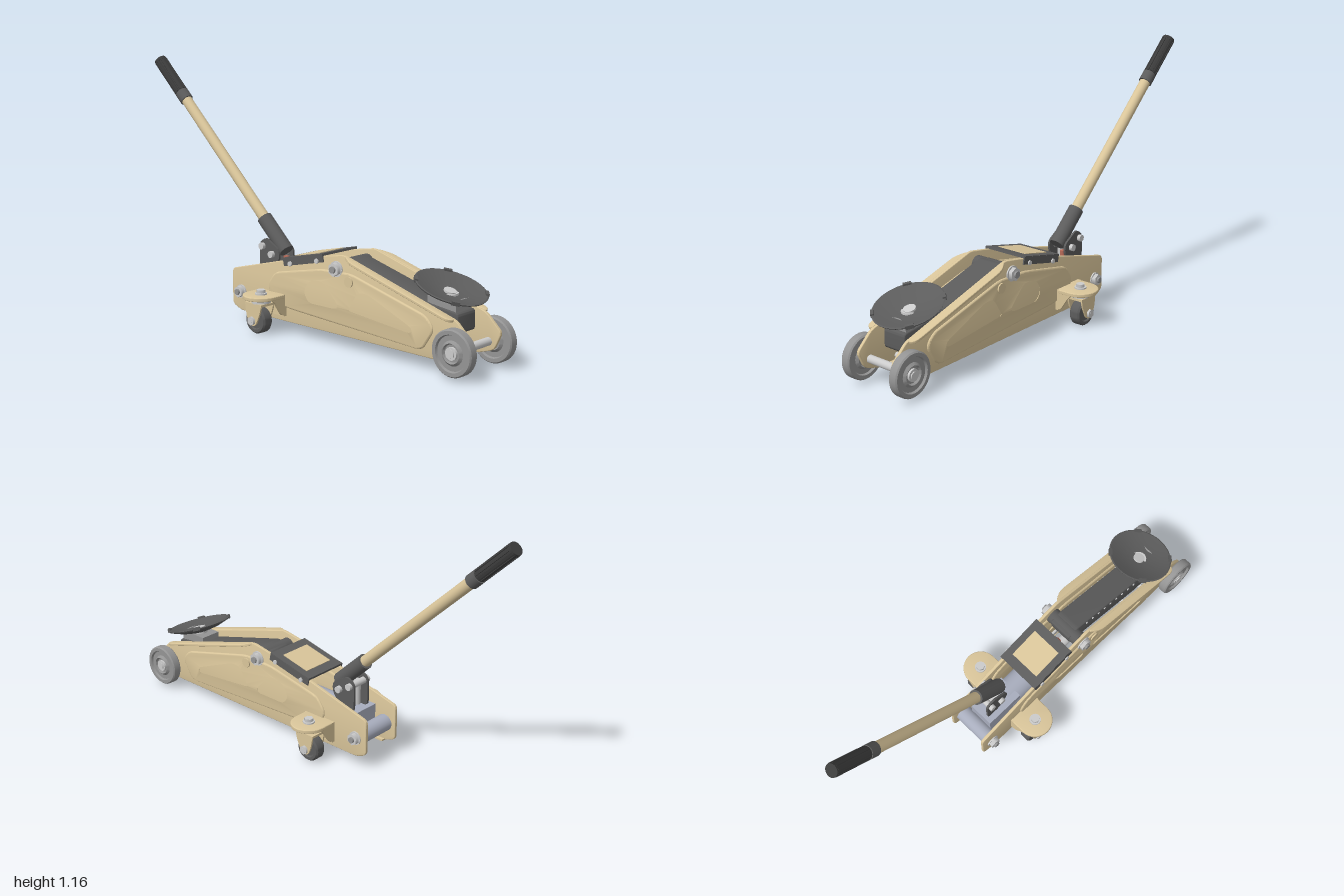
import * as THREE from 'three';
import { toCreasedNormals } from 'three/addons/utils/BufferGeometryUtils.js';

const mat = (color) => new THREE.MeshStandardMaterial({ color, side: THREE.DoubleSide });

export function createModel() {
  const root = new THREE.Group();
  const cream = mat(0xd9c59a), dark = mat(0x5c5c5c), black = mat(0x3c3c3c);
  const steel = mat(0xbcbcbc), grey = mat(0x949494), blue = mat(0xa8adbd), red = mat(0xb86a58);

  const add = (name, geo, material, x = 0, y = 0, z = 0, parent = root) => {
    const m = new THREE.Mesh(geo, material);
    m.name = name;
    m.position.set(x, y, z);
    parent.add(m);
    return m;
  };
  const box = (name, w, h, d, material, x, y, z, parent) =>
    add(name, new THREE.BoxGeometry(w, h, d), material, x, y, z, parent);
  // Cylinder lying along z
  const rod = (name, r, len, material, x, y, z = 0, sides = 24, parent = root) =>
    add(name, new THREE.CylinderGeometry(r, r, len, sides).rotateX(Math.PI / 2), material, x, y, z, parent);
  // Cylinder standing along y
  const post = (name, r, len, material, x, y, z, sides = 24, parent = root) =>
    add(name, new THREE.CylinderGeometry(r, r, len, sides), material, x, y, z, parent);

  // Closed outline with rounded corners
  const rounded = (pts, r, Type = THREE.Shape) => {
    const s = new Type();
    const v = pts.map((p) => new THREE.Vector2(p[0], p[1]));
    v.forEach((p, i) => {
      const a = v[(i + v.length - 1) % v.length], b = v[(i + 1) % v.length];
      const p1 = p.clone().lerp(a, Math.min(0.45, r / p.distanceTo(a)));
      const p2 = p.clone().lerp(b, Math.min(0.45, r / p.distanceTo(b)));
      if (i) s.lineTo(p1.x, p1.y); else s.moveTo(p1.x, p1.y);
      s.quadraticCurveTo(p.x, p.y, p2.x, p2.y);
    });
    s.closePath();
    return s;
  };
  // Extrusion centred on its own depth
  const slab = (shape, depth, bevel = 0) => {
    const g = new THREE.ExtrudeGeometry(shape, {
      depth: depth - 2 * bevel, bevelEnabled: bevel > 0, bevelSize: bevel, bevelOffset: -bevel,
      bevelThickness: bevel, bevelSegments: 3, curveSegments: 8,
    });
    g.translate(0, 0, -(depth - 2 * bevel) / 2);
    return toCreasedNormals(g, 0.6);
  };
  const hexBolt = (x, y, z, side, r = 0.026) => {
    rod('boltWasher', r * 1.15, 0.006, steel, x, y, z + side * 0.003, 24);
    rod('boltHead', r, 0.02, steel, x, y, z + side * 0.014, 6);
    rod('boltEnd', r * 0.5, 0.01, grey, x, y, z + side * 0.028, 16);
  };

  // Side plates, with a raised panel around two sunken windows
  const plate = rounded([[-0.353, 0.237], [-0.02, 0.322], [0.2, 0.372], [0.315, 0.392], [0.89, 0.222],
    [0.965, 0.15], [0.93, 0.075], [0.85, 0.05], [-0.3, 0.053], [-0.353, 0.075]], 0.02);
  const panel = rounded([[-0.125, 0.2], [-0.08, 0.262], [0.2, 0.318], [0.36, 0.322], [0.75, 0.218],
    [0.79, 0.17], [0.73, 0.075], [0, 0.113], [-0.1, 0.14]], 0.03);
  panel.holes.push(
    rounded([[0.085, 0.2], [0.12, 0.262], [0.205, 0.275], [0.3, 0.18], [0.285, 0.153], [0.12, 0.153]], 0.03, THREE.Path),
    rounded([[0.335, 0.16], [0.395, 0.258], [0.45, 0.26], [0.69, 0.16], [0.68, 0.125]], 0.03, THREE.Path));
  // Sloping flange folded outward along the front half of the plate
  const flange = rounded([[0, 0], [0.598, 0], [0.58, 0.036], [0.06, 0.036]], 0.03);
  // Bracket that carries a caster
  const ear = new THREE.Shape();
  ear.moveTo(-0.08, 0.09);
  ear.lineTo(-0.08, 0.177);
  ear.absarc(0, 0.177, 0.08, Math.PI, 0, true);
  ear.lineTo(0.08, 0.09);
  ear.closePath();
  // Caster fork cheek
  const cheek = rounded([[-0.045, 0.075], [0.055, 0.075], [0.045, 0.035], [0.018, -0.022], [-0.018, -0.022], [-0.035, 0.02]], 0.018);

  // Wheels as turned profiles (radius, offset along the axle)
  const turned = (pts) => toCreasedNormals(
    new THREE.LatheGeometry(pts.map((p) => new THREE.Vector2(p[0], p[1])), 40).rotateX(Math.PI / 2), 0.6);
  const frontWheel = turned([[0, -0.012], [0.035, -0.012], [0.04, -0.022], [0.05, -0.012], [0.07, -0.012], [0.074, -0.022],
    [0.089, -0.022], [0.094, -0.016], [0.094, 0.016], [0.089, 0.022], [0.074, 0.022], [0.07, 0.012],
    [0.05, 0.012], [0.04, 0.022], [0.035, 0.012], [0, 0.012]]);
  const casterWheel = turned([[0, -0.02], [0.035, -0.02], [0.04, -0.026], [0.052, -0.026], [0.058, -0.018],
    [0.058, 0.018], [0.052, 0.026], [0.04, 0.026], [0.035, 0.02], [0, 0.02]]);

  for (const s of [1, -1]) {
    add('sidePlate', slab(plate, 0.014, 0.003), cream, 0, 0, s * 0.096);
    add('sidePanel', slab(panel, 0.03, 0.007), cream, 0, 0, s * 0.096);
    box('bottomLip', 1.13, 0.008, 0.022, cream, 0.27, 0.055, s * 0.085);
    const f = new THREE.Group();
    f.name = 'topFlange';
    f.position.set(0.312, 0.387, s * 0.098);
    f.rotation.z = -0.285;
    add('flangeStrip', slab(flange, 0.012, 0.003).rotateX(s * Math.PI / 2), cream, 0, 0, 0, f);
    root.add(f);
    hexBolt(-0.295, 0.14, s * 0.103, s);
    hexBolt(0.28, 0.33, s * 0.106, s, 0.029);
    rod('panelDimple', 0.022, 0.01, cream, 0.352, 0.287, s * 0.112);
    for (const [x, y] of [[0.015, 0.312], [0.17, 0.347]]) rod('coverScrew', 0.011, 0.012, steel, x, y, s * 0.11, 6);

    // Front wheel and hub
    add('frontWheel', frontWheel, grey, 0.904, 0.107, s * 0.131);
    rod('hubCap', 0.026, 0.044, steel, 0.904, 0.107, s * 0.131, 24);
    rod('hubNut', 0.018, 0.054, steel, 0.904, 0.107, s * 0.131, 6);

    // Caster bracket, swivel, fork and wheel
    add('casterBracket', slab(ear, 0.017, 0.004).rotateX(s * Math.PI / 2), cream, -0.095, 0.164, 0);
    box('bracketBack', 0.16, 0.095, 0.014, cream, -0.095, 0.125, s * 0.11);
    for (const x of [-0.168, -0.022]) {
      const g = slab(rounded([[0, 0.04], [0.08, 0.04], [0.06, 0.02], [0.02, -0.04], [0, -0.04]], 0.015), 0.012);
      add('bracketGusset', g.rotateY(-s * Math.PI / 2), cream, x, 0.122, s * 0.108);
    }
    post('swivelWasher', 0.026, 0.008, steel, -0.095, 0.175, s * 0.178);
    post('swivelNut', 0.02, 0.018, steel, -0.095, 0.184, s * 0.178, 6);
    post('swivelRace', 0.042, 0.022, steel, -0.095, 0.146, s * 0.177);
    box('forkCrown', 0.1, 0.01, 0.082, cream, -0.103, 0.132, s * 0.177);
    for (const d of [-0.037, 0.037]) add('forkCheek', slab(cheek, 0.008), cream, -0.108, 0.06, s * 0.177 + d);
    add('casterWheel', casterWheel, dark, -0.108, 0.058, s * 0.177);
    rod('casterAxle', 0.01, 0.105, steel, -0.108, 0.06, s * 0.177, 16);
    rod('casterNut', 0.02, 0.014, steel, -0.108, 0.06, s * 0.222, 6);

    // Hydraulic side links
    box('innerLink', 0.42, 0.03, 0.01, steel, 0.45, 0.13, s * 0.068);
  }

  // Cross shafts
  rod('frontAxle', 0.017, 0.24, steel, 0.904, 0.107);
  rod('frontTieRod', 0.012, 0.19, steel, 0.76, 0.075);
  rod('middleTieRod', 0.012, 0.19, steel, 0.62, 0.14);
  rod('rearShaft', 0.038, 0.18, blue, -0.295, 0.14);
  rod('armPivot', 0.036, 0.17, dark, 0.28, 0.33);

  // Hydraulic unit
  box('pumpBlock', 0.19, 0.12, 0.12, blue, -0.17, 0.17, 0);
  const tube = new THREE.CylinderGeometry(0.062, 0.062, 0.36, 32).rotateZ(Math.PI / 2);
  add('hydraulicCylinder', tube, blue, 0.06, 0.175, 0);
  const ram = new THREE.CylinderGeometry(0.026, 0.026, 0.2, 24).rotateZ(Math.PI / 2);
  add('hydraulicRam', ram, steel, 0.33, 0.175, 0);
  box('oilTank', 0.32, 0.02, 0.13, dark, 0.06, 0.1, 0);
  add('fillerPlug', new THREE.SphereGeometry(0.026, 20, 14), red, 0.215, 0.25, 0);
  post('pumpPlunger', 0.018, 0.13, steel, -0.2, 0.28, 0.01);
  post('releaseValve', 0.013, 0.08, red, -0.15, 0.26, -0.035, 16);

  // Sloped top cover with a pale inset
  const cover = new THREE.Group();
  cover.name = 'topCover';
  cover.position.set(0.085, 0.352, 0);
  cover.rotation.z = 0.22;
  box('coverSheet', 0.235, 0.01, 0.216, dark, 0, 0, 0, cover);
  box('coverInset', 0.145, 0.006, 0.15, cream, 0, 0.005, 0, cover);
  for (const s of [1, -1]) box('coverSkirt', 0.235, 0.034, 0.006, dark, 0, -0.014, s * 0.106, cover);
  root.add(cover);

  // Lifting arm
  const arm = rounded([[0.24, 0.355], [0.3, 0.368], [0.72, 0.252], [0.86, 0.235], [0.86, 0.15], [0.7, 0.15], [0.25, 0.285]], 0.015);
  add('liftArm', slab(arm, 0.115, 0.005), dark, 0, 0, -0.005);
  rod('armEndPin', 0.014, 0.15, steel, 0.82, 0.19);
  for (const s of [1, -1])
    for (let i = 0; i < 9; i++) rod('armRivet', 0.006, 0.006, steel, 0.36 + i * 0.04, 0.335 - i * 0.011, -0.005 + s * 0.058, 8);

  // Saddle dish with four teeth
  const saddle = new THREE.Group();
  saddle.name = 'saddle';
  saddle.position.set(0.778, 0.308, -0.008);
  saddle.rotation.z = -0.32;
  const dish = [[0, -0.026], [0.05, -0.024], [0.1, -0.012], [0.146, 0.006], [0.15, 0.012], [0.144, 0.014], [0.1, 0], [0.05, -0.01], [0, -0.012]];
  add('saddleDish', toCreasedNormals(new THREE.LatheGeometry(dish.map((p) => new THREE.Vector2(...p)), 48), 0.6), dark, 0, 0, 0, saddle);
  for (let i = 0; i < 4; i++) {
    const a = i * Math.PI / 2 + Math.PI / 4;
    box('saddleTooth', 0.014, 0.016, 0.034, dark, Math.cos(a) * 0.144, 0.012, -Math.sin(a) * 0.144, saddle).rotation.y = a;
  }
  post('saddleBolt', 0.026, 0.01, steel, 0, -0.008, 0, 24, saddle);
  root.add(saddle);
  box('saddleBase', 0.14, 0.05, 0.1, grey, 0.775, 0.256, -0.005);
  post('saddleStem', 0.035, 0.06, steel, 0.775, 0.265, -0.008);

  // Handle, built along its own y axis from the socket up
  const foot = new THREE.Vector3(-0.15, 0.345, -0.016), tip = new THREE.Vector3(-0.975, 1.135, -0.016);
  const handle = new THREE.Group();
  handle.name = 'handle';
  handle.position.copy(foot);
  handle.quaternion.setFromUnitVectors(new THREE.Vector3(0, 1, 0), tip.clone().sub(foot).normalize());
  const len = foot.distanceTo(tip);
  post('handleTube', 0.025, len - 0.06, cream, 0, len / 2, 0, 28, handle);
  post('handleSocket', 0.034, 0.19, dark, 0, 0.07, 0, 28, handle);
  post('gripCollar', 0.031, 0.05, dark, 0, len - 0.235, 0, 28, handle);
  post('gripCore', 0.027, 0.23, black, 0, len - 0.115, 0, 28, handle);
  for (let i = 0; i < 10; i++) {
    const a = i * Math.PI / 5;
    box('gripRib', 0.008, 0.2, 0.01, black, Math.cos(a) * 0.026, len - 0.105, -Math.sin(a) * 0.026, handle).rotation.y = a;
  }
  post('gripCap', 0.029, 0.014, black, 0, len - 0.006, 0, 28, handle);
  root.add(handle);

  // Yoke that carries the socket
  const yoke = rounded([[-0.25, 0.23], [-0.25, 0.36], [-0.21, 0.385], [-0.13, 0.335], [-0.13, 0.29], [-0.18, 0.23]], 0.02);
  for (const z of [-0.06, 0.028]) add('yokeCheek', slab(yoke, 0.01), dark, 0, 0, z);
  rod('yokePin', 0.015, 0.13, steel, -0.17, 0.315, -0.016);
  rod('rollerPin', 0.015, 0.13, steel, -0.228, 0.345, -0.016);

  return root;
}
